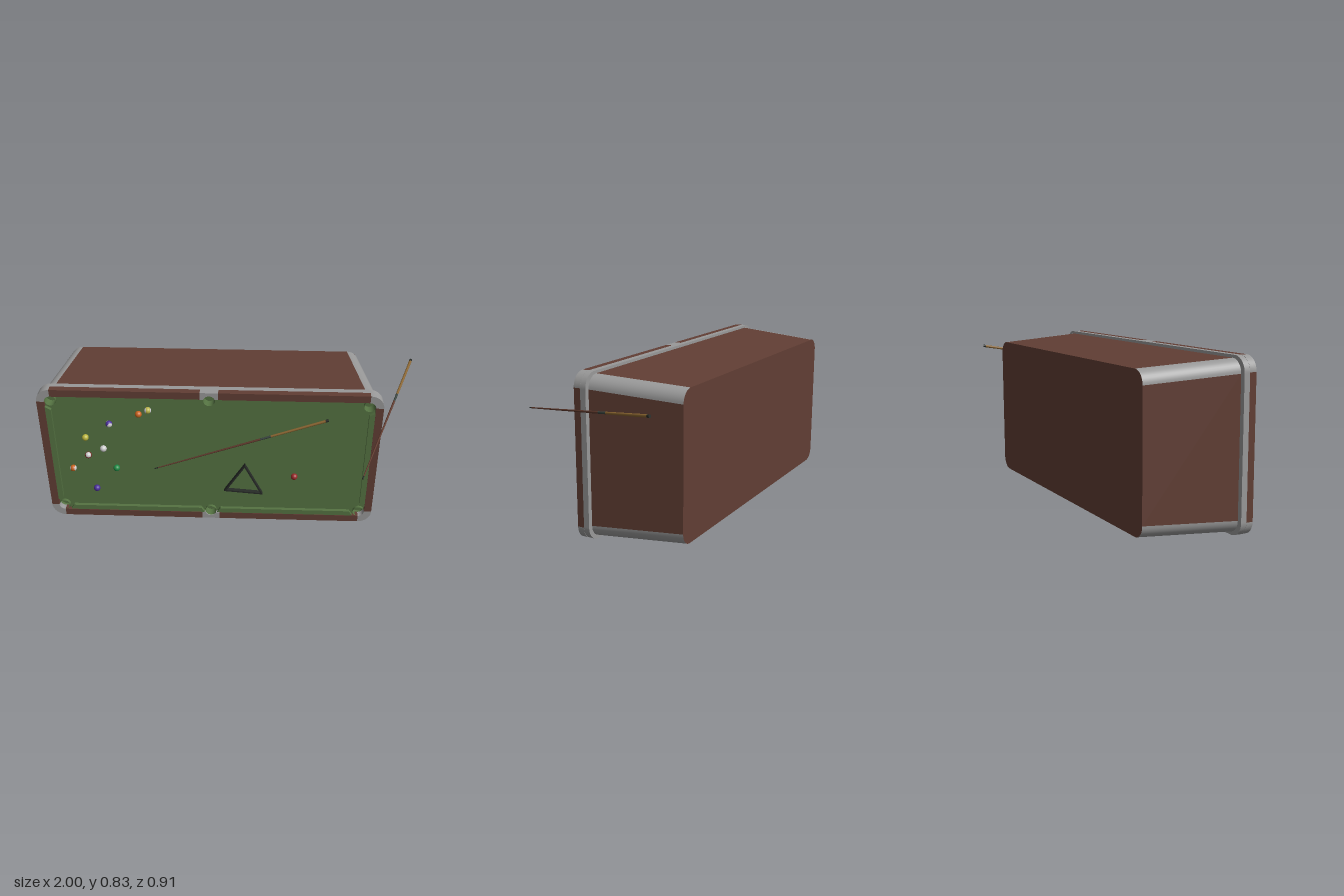
import * as THREE from 'three';

const mat = (color, side = THREE.FrontSide) => new THREE.MeshStandardMaterial({ color, side });
const BROWN = 0x613e34, GREY = 0x999999, CLOTH = 0x557342, DARK = 0x262a26, WHITE = 0xe6e6e6;
const W = 0.893, H = 0.414;              // half size of the rail
const Z0 = 0.02, ZB = -0.445, R = 0.065; // cabinet depth range and corner radius
const POCKET_R = 0.031;
const pockets = [-1, 0, 1].flatMap(i => [-1, 1].map(j => [i * (W - 0.071), j * (i ? H - 0.066 : H - 0.05)]));

function add(parent, name, geo, material) {
  const m = new THREE.Mesh(geo, material);
  m.name = name;
  parent.add(m);
  return m;
}

function poly(points) {
  return new THREE.Shape(points.map(p => new THREE.Vector2(p[0], p[1])));
}

function roundRect(hx, hy, r) {
  const s = new THREE.Shape();
  s.absarc(hx - r, hy - r, r, 0, Math.PI / 2);
  s.absarc(-hx + r, hy - r, r, Math.PI / 2, Math.PI);
  s.absarc(-hx + r, -hy + r, r, Math.PI, Math.PI * 1.5);
  s.absarc(hx - r, -hy + r, r, Math.PI * 1.5, Math.PI * 2);
  s.closePath();
  return s;
}

function slab(shape, z0, z1) {
  return new THREE.ExtrudeGeometry(shape, { depth: z1 - z0, bevelEnabled: false, curveSegments: 12 }).translate(0, 0, z0);
}

function pierced(shape) {
  pockets.forEach(([x, y]) => shape.holes.push(new THREE.Path().absarc(x, y, POCKET_R, 0, Math.PI * 2, true)));
  return shape;
}

// half width and half height of the tapered cabinet at depth z
const half = z => {
  const t = (Z0 - z) / (Z0 - ZB);
  return [0.868 - 0.063 * t, 0.4 - 0.028 * t];
};

// points of a rounded cabinet corner, counter-clockwise
function cornerPoints(q, z, n = 10) {
  const [hx, hy] = half(z), sx = [1, -1, -1, 1][q], sy = [1, 1, -1, -1][q];
  return Array.from({ length: n + 1 }, (_, i) => {
    const a = (q + i / n) * Math.PI / 2;
    return [sx * (hx - R) + R * Math.cos(a), sy * (hy - R) + R * Math.sin(a), z];
  });
}

// strip joining a back row of points to a front row
function band(back, front) {
  const n = back.length, idx = [];
  for (let i = 0; i < n - 1; i++) idx.push(i, i + 1, n + i, i + 1, n + i + 1, n + i);
  const g = new THREE.BufferGeometry();
  g.setAttribute('position', new THREE.Float32BufferAttribute([...back, ...front].flat(), 3));
  g.setIndex(idx);
  g.computeVertexNormals();
  return g;
}

function buildCabinet(table) {
  const brown = mat(BROWN, THREE.DoubleSide), grey = mat(GREY, THREE.DoubleSide);
  for (let q = 0; q < 4; q++) {
    const b = cornerPoints(q, ZB), f = cornerPoints(q, Z0), nq = (q + 1) % 4;
    add(table, 'cabinetCorner', band(b, f), grey);
    if (q !== 2) {
      add(table, 'cabinetPanel', band([b.at(-1), cornerPoints(nq, ZB)[0]], [f.at(-1), cornerPoints(nq, Z0)[0]]), brown);
    }
  }
  add(table, 'cabinetBase', new THREE.ShapeGeometry(roundRect(...half(ZB), R), 10).translate(0, 0, ZB), brown);

  // lower long panel with the two ball-return openings, drawn in x and z
  const f = half(Z0)[0] - R, b = half(ZB)[0] - R;
  const shape = poly([[-f, Z0], [f, Z0], [b, ZB], [-b, ZB]]);
  const slots = [[-0.333, 0.067, -0.30, -0.21], [-0.545, -0.405, -0.287, -0.262]];
  for (const [x0, x1, z0, z1] of slots) {
    shape.holes.push(poly([[x0, z0], [x0, z1], [x1, z1], [x1, z0]]));
    const tray = new THREE.BoxGeometry(x1 - x0, 0.06, z1 - z0);
    tray.setIndex(Array.from(tray.index.array).filter((_, i) => i < 18 || i > 23));  // open below
    tray.translate((x0 + x1) / 2, -half((z0 + z1) / 2)[1] + 0.031, (z0 + z1) / 2);
    add(table, 'ballReturnTray', tray, grey);
  }
  const panel = new THREE.ShapeGeometry(shape), p = panel.attributes.position;
  for (let i = 0; i < p.count; i++) p.setXYZ(i, p.getX(i), -half(p.getY(i))[1], p.getY(i));
  panel.computeVertexNormals();
  // the remapping turns the faces toward -y
  add(table, 'ballReturnPanel', panel, brown);
}

function buildRail(table) {
  const brown = mat(BROWN), grey = mat(GREY), z0 = 0.05, z1 = 0.085, c = 0.072, w = 0.04, m = 0.047;
  add(table, 'railTrim', slab(pierced(roundRect(W, H, 0.075)), Z0, z0), grey);

  for (const sx of [-1, 1]) {
    const x = sx * (W - w / 2);
    add(table, 'endRail', new THREE.BoxGeometry(w, 2 * (H - c), z1 - z0).translate(x, 0, (z0 + z1) / 2), brown);
    for (const sy of [-1, 1]) {
      const len = W - c - m;
      add(table, 'sideRail', new THREE.BoxGeometry(len, w, z1 - z0)
        .translate(sx * (m + len / 2), sy * (H - w / 2), (z0 + z1) / 2), brown);
      // corner casting wrapping the pocket
      const s = new THREE.Shape();
      s.absarc(-c, -c, c, 0, Math.PI / 2);
      s.absarc(-c, -c, c - w, Math.PI / 2, 0, true);
      s.closePath();
      const corner = add(table, 'railCorner', slab(s, z0, z1), grey);
      corner.position.set(sx * W, sy * H, 0);
      corner.rotation.z = sx > 0 ? (sy > 0 ? 0 : -Math.PI / 2) : (sy > 0 ? Math.PI / 2 : Math.PI);
    }
  }
  // middle castings, notched round the pocket
  for (const turn of [0, Math.PI]) {
    const a = Math.asin(0.01 / POCKET_R), s = new THREE.Shape();
    s.moveTo(m, H - w);
    s.lineTo(m, H);
    s.lineTo(-m, H);
    s.lineTo(-m, H - w);
    s.absarc(0, H - w - 0.01, POCKET_R, Math.PI - a, a, true);
    s.closePath();
    add(table, 'railMiddle', slab(s, z0, z1), grey).rotation.z = turn;
  }
}

function buildCloth(table) {
  const cloth = mat(CLOTH), both = mat(CLOTH, THREE.DoubleSide);
  add(table, 'clothBed', slab(pierced(roundRect(W - 0.01, H - 0.01, 0.065)), 0.048, 0.065), cloth);
  for (const [x, y] of pockets) {
    const cup = new THREE.CylinderGeometry(POCKET_R - 0.0005, POCKET_R - 0.0005, 0.05, 24, 1, true).rotateX(Math.PI / 2);
    add(table, 'pocketCup', cup, both).position.set(x, y, 0.055);
    add(table, 'pocketFloor', new THREE.CircleGeometry(POCKET_R, 24), cloth).position.set(x, y, 0.031);
  }
  // cushions with mitred ends
  const cushion = len => slab(poly([[-len / 2, 0], [-len / 2 + 0.018, -0.029], [len / 2 - 0.018, -0.029], [len / 2, 0]].reverse()), 0.06, 0.083);
  const long = W - 0.105 - 0.035, short = 2 * (H - 0.105);
  for (const turn of [0, Math.PI]) {
    for (const s of [-1, 1]) {
      const g = cushion(long).translate(s * (0.035 + long / 2), H - 0.04, 0);
      add(table, 'sideCushion', g, cloth).rotation.z = turn;
    }
    add(table, 'endCushion', cushion(short).translate(0, W - 0.04, 0), cloth).rotation.z = turn + Math.PI / 2;
  }
}

// ball with a coloured band between two caps
function buildBall(root, x, y, color, capColor, i) {
  const ball = new THREE.Group(), r = 0.018;
  ball.name = 'ball';
  [[0, 0.3, capColor], [0.3, 0.4, color], [0.7, 0.3, capColor]].forEach(([t, l, col]) =>
    add(ball, 'ballZone', new THREE.SphereGeometry(r, 24, 8, 0, Math.PI * 2, t * Math.PI, l * Math.PI), mat(col)));
  ball.position.set(x, y, 0.083);
  ball.rotation.set(0.5 + i * 0.7, 0, i * 1.3);
  root.add(ball);
}

// cue from its thin tip to its thick butt
function buildCue(root, tip, butt) {
  const cue = new THREE.Group(), a = new THREE.Vector3(...tip), d = new THREE.Vector3(...butt).sub(a), L = d.length();
  const radius = t => 0.003 + 0.0045 * t;
  cue.name = 'cue';
  [[0, 0.02, DARK], [0.02, 0.62, 0x5e382b], [0.62, 0.68, 0x39453f], [0.68, 0.985, 0x8a6530], [0.985, 1, DARK]].forEach(([t0, t1, col]) =>
    add(cue, 'cueSection', new THREE.CylinderGeometry(radius(t1), radius(t0), (t1 - t0) * L, 14)
      .translate(0, (t0 + t1) / 2 * L, 0), mat(col)));
  cue.position.copy(a);
  cue.quaternion.setFromUnitVectors(new THREE.Vector3(0, 1, 0), d.normalize());
  root.add(cue);
}

export function createModel() {
  const root = new THREE.Group(), table = new THREE.Group();
  root.name = 'poolTable';
  table.name = 'table';
  table.position.set(-0.107, H, 0);
  root.add(table);
  buildCabinet(table);
  buildRail(table);
  buildCloth(table);

  [[-0.475, 0.69, 0xc8641e, 0xc8641e], [-0.425, 0.715, 0xb9b44a, WHITE], [-0.634, 0.625, 0x4b2f9a, WHITE],
    [-0.767, 0.535, 0xb9b43c, 0xb9b43c], [-0.677, 0.465, WHITE, WHITE], [-0.762, 0.42, 0x8a2c2c, WHITE],
    [-0.853, 0.33, 0xc8641e, WHITE], [-0.615, 0.337, 0x1f8a45, 0x1f8a45], [-0.735, 0.195, 0x4b2f9a, 0x4b2f9a],
    [0.348, 0.305, 0x9a2a2a, 0x9a2a2a]].forEach((b, i) => buildBall(root, ...b, i));

  // triangular rack
  const corners = [[-0.032, 0.197], [0.18, 0.179], [0.08, 0.376]], mid = [0.076, 0.251];
  const rack = poly(corners);
  rack.holes.push(poly(corners.map(p => p.map((v, i) => mid[i] + (v - mid[i]) * 0.87)).reverse()));
  add(root, 'rack', slab(rack, 0.065, 0.088), mat(DARK));

  buildCue(root, [-0.41, 0.33, 0.072], [0.51, 0.67, 0.074]);
  buildCue(root, [0.66, 0.588, 0.455], [0.995, 0.737, -0.453]);
  return root;
}
